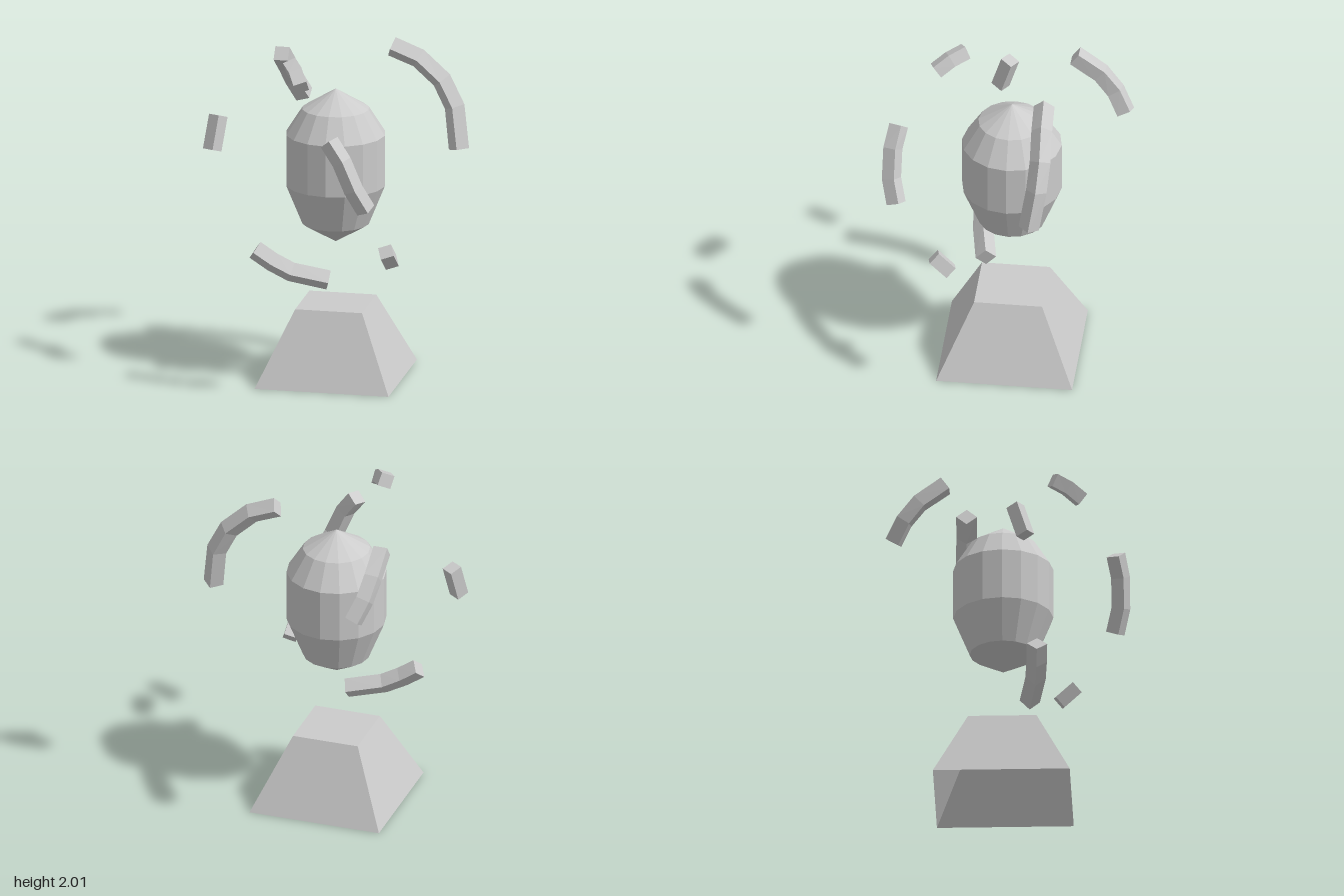
import * as THREE from 'three';

const material = new THREE.MeshStandardMaterial({ color: 0xcccccc, flatShading: true });
const openMaterial = new THREE.MeshStandardMaterial({ color: 0xcccccc, flatShading: true, side: THREE.DoubleSide });
const AXIS_Z = -0.035;

function add(parent, name, geometry, mat = material) {
  const mesh = new THREE.Mesh(geometry, mat);
  mesh.name = name;
  parent.add(mesh);
  return mesh;
}

// Square bar swept along a path; one edge of the bar points towards `corner`
function barGeometry(path, corner, radius) {
  const pts = path.map((p) => new THREE.Vector3(...p));
  const last = pts.length - 1;
  const positions = [];
  const index = [];
  pts.forEach((p, i) => {
    const tangent = new THREE.Vector3();
    if (i > 0) tangent.add(p.clone().sub(pts[i - 1]).normalize());
    if (i < last) tangent.add(pts[i + 1].clone().sub(p).normalize());
    tangent.normalize();
    const u = new THREE.Vector3(...corner);
    u.addScaledVector(tangent, -u.dot(tangent)).normalize();
    const v = tangent.clone().cross(u);
    for (let k = 0; k < 4; k++) {
      const a = (k * Math.PI) / 2;
      const q = p.clone().addScaledVector(u, radius * Math.cos(a)).addScaledVector(v, radius * Math.sin(a));
      positions.push(q.x, q.y, q.z);
    }
  });
  for (let i = 0; i < last; i++) {
    for (let k = 0; k < 4; k++) {
      const a = i * 4 + k;
      const b = i * 4 + ((k + 1) % 4);
      index.push(a, b, b + 4, a, b + 4, a + 4);
    }
  }
  const e = last * 4;
  index.push(0, 2, 1, 0, 3, 2, e, e + 1, e + 2, e, e + 2, e + 3);
  const geometry = new THREE.BufferGeometry();
  geometry.setAttribute('position', new THREE.Float32BufferAttribute(positions, 3));
  geometry.setIndex(index);
  const flat = geometry.toNonIndexed();
  flat.computeVertexNormals();
  return flat;
}

export function createModel() {
  const group = new THREE.Group();
  group.name = 'floatingCrystal';

  // Pedestal: truncated pyramid, open underneath
  const pedestal = new THREE.Group();
  pedestal.name = 'pedestal';
  pedestal.position.z = AXIS_Z;
  group.add(pedestal);
  const walls = new THREE.CylinderGeometry(0.2 * Math.SQRT2, 0.4 * Math.SQRT2, 0.44, 4, 1, true);
  add(pedestal, 'pedestalWalls', walls.rotateY(Math.PI / 4).translate(0, 0.22, 0), openMaterial);
  const top = new THREE.PlaneGeometry(0.4, 0.4).rotateX(-Math.PI / 2).translate(0, 0.44, 0);
  add(pedestal, 'pedestalTop', top, openMaterial);

  // Faceted core, pointed at both ends
  const profile = [[0, 0.81], [0.197, 0.925], [0.293, 1.16], [0.293, 1.468], [0.197, 1.62], [0, 1.74]];
  const core = new THREE.LatheGeometry(profile.map(([r, y]) => new THREE.Vector2(r, y)), 16);
  add(group, 'core', core).position.z = AXIS_Z;

  // Curved fragments floating around the core
  const fragments = [
    {
      name: 'leftLongFragment', corner: [0, 0, 1], radius: 0.061,
      path: [[0.288, 1.95, -0.258], [0.447, 1.887, -0.262], [0.585, 1.76, -0.268], [0.664, 1.606, -0.255], [0.698, 1.362, -0.215]],
    },
    {
      name: 'backFragment', corner: [1, 0.65, -0.75], radius: 0.06,
      path: [[-0.393, 1.835, -0.362], [-0.39, 1.727, -0.513], [-0.37, 1.62, -0.603], [-0.322, 1.505, -0.667]],
    },
    {
      name: 'rightFragment', corner: [0.2, 0, 1], radius: 0.055,
      path: [[-0.682, 1.56, 0.055], [-0.706, 1.365, 0.115]],
    },
    {
      name: 'frontFragment', corner: [0.4, 0, 1], radius: 0.058,
      path: [[0.1, 1.605, 0.62], [0.18, 1.495, 0.645], [0.25, 1.33, 0.645], [0.317, 1.2, 0.61]],
    },
    {
      name: 'lowerRightFragment', corner: [0, 0, 1], radius: 0.06,
      path: [[-0.437, 0.79, 0.175], [-0.335, 0.722, 0.17], [-0.225, 0.665, 0.16], [-0.01, 0.617, 0.12]],
    },
    {
      name: 'lowerLeftFragment', corner: [0.3, 1, 0], radius: 0.056,
      path: [[0.388, 0.885, 0.38], [0.397, 0.795, 0.28]],
    },
    {
      name: 'upperFragment', corner: [0.5, 1, 0], radius: 0.056,
      path: [[-0.205, 1.95, 0.26], [-0.152, 1.922, 0.345], [-0.108, 1.867, 0.425]],
    },
  ];
  for (const { name, path, corner, radius } of fragments) add(group, name, barGeometry(path, corner, radius));

  return group;
}
